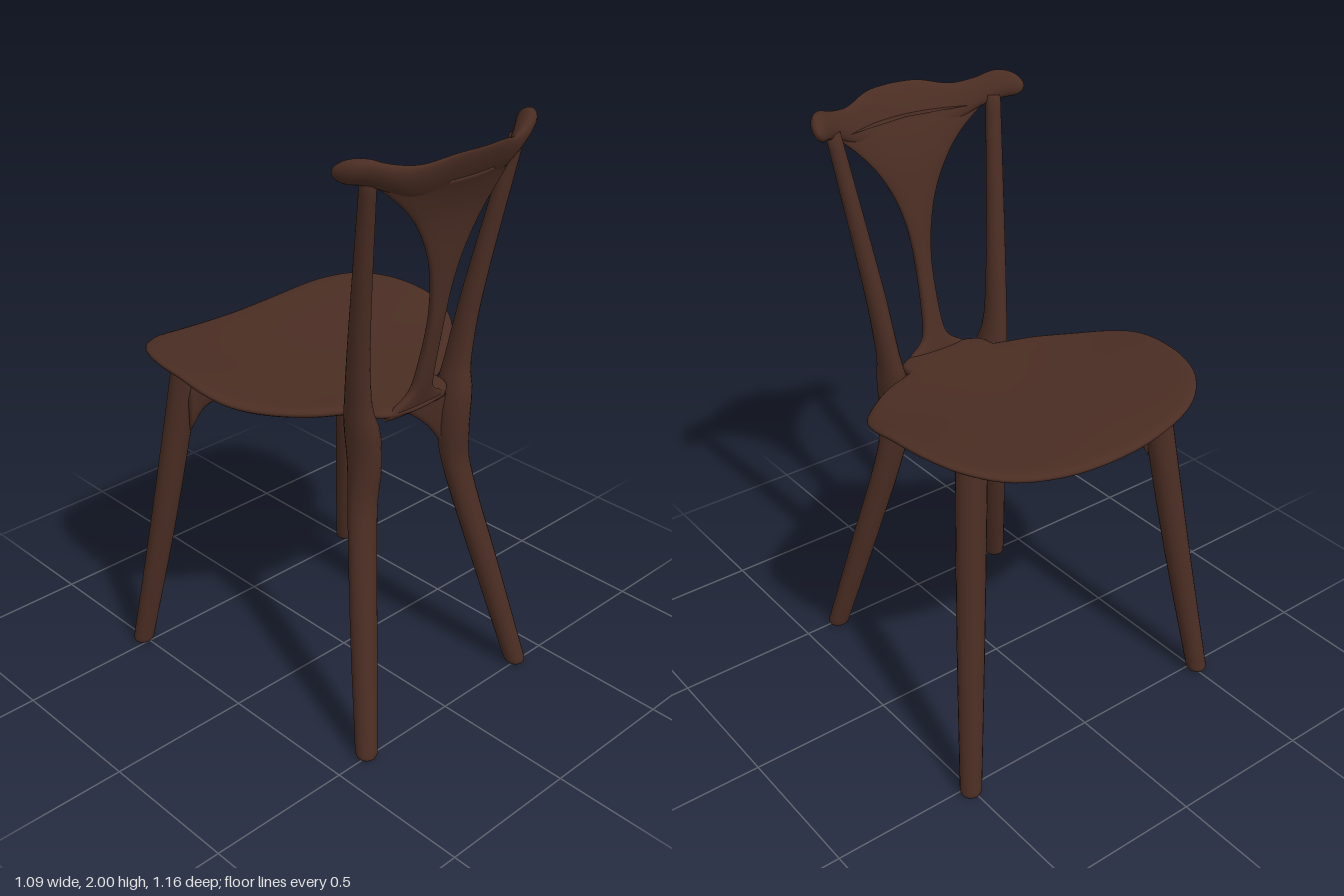
import * as THREE from 'three';

const wood = new THREE.MeshStandardMaterial({ color: 0x4a2d23 });
wood.name = 'dark walnut';

// Smooth interpolation of rows [key, a, b, ...] at key v
function interp(rows, v) {
  let i = 0;
  while (i < rows.length - 2 && v > rows[i + 1][0]) i++;
  const slope = (j, c) => {
    const a = rows[Math.max(j - 1, 0)], b = rows[Math.min(j + 1, rows.length - 1)];
    return (b[c] - a[c]) / (b[0] - a[0]);
  };
  const p = rows[i], q = rows[i + 1], d = q[0] - p[0];
  const t = THREE.MathUtils.clamp((v - p[0]) / d, 0, 1), u = 1 - t;
  return p.slice(1).map((_, k) => {
    const c = k + 1;
    return p[c] * (1 + 2 * t) * u * u + q[c] * t * t * (3 - 2 * t)
      + d * (slope(i, c) * t * u * u - slope(i + 1, c) * t * t * u);
  });
}

// Closed skin over rings of [x, y, z] points, always facing outward
function loft(rings) {
  const n = rings[0].length, m = rings.length, pos = rings.flat(), idx = [];
  for (let i = 0; i < m - 1; i++) {
    for (let j = 0; j < n; j++) {
      const a = i * n + j, b = i * n + (j + 1) % n;
      idx.push(a, b, b + n, a, b + n, a + n);
    }
  }
  for (const [r, flip] of [[0, true], [m - 1, false]]) {
    const c = pos.length;
    pos.push([0, 1, 2].map(k => rings[r].reduce((s, p) => s + p[k], 0) / n));
    for (let j = 0; j < n; j++) {
      const a = r * n + j, b = r * n + (j + 1) % n;
      idx.push(c, flip ? b : a, flip ? a : b);
    }
  }
  let volume = 0;
  const v = k => new THREE.Vector3(...pos[idx[k]]);
  for (let k = 0; k < idx.length; k += 3) volume += v(k).dot(v(k + 1).cross(v(k + 2)));
  if (volume < 0) idx.reverse();
  const g = new THREE.BufferGeometry();
  g.setAttribute('position', new THREE.Float32BufferAttribute(pos.flat(), 3));
  g.setIndex(idx);
  g.computeVertexNormals();
  return g;
}

const range = (n, f) => Array.from({ length: n }, (_, i) => f(i));
const ring = (n, f) => range(n, i => {
  const a = i / n * Math.PI * 2;
  return f(Math.cos(a), Math.sin(a));
});
const squash = (v, p) => Math.sign(v) * Math.abs(v) ** p;

// Rows of leg stations: y, x, z, radius in x, radius in z
const backLeg = [
  [0, 0.372, 0.495, 0.037, 0.037], [0.4, 0.295, 0.4, 0.044, 0.044], [0.8, 0.218, 0.312, 0.05, 0.046],
  [0.95, 0.204, 0.305, 0.05, 0.06], [1.08, 0.212, 0.3, 0.046, 0.066], [1.16, 0.224, 0.296, 0.036, 0.051],
  [1.4, 0.25, 0.325, 0.032, 0.037], [1.93, 0.314, 0.422, 0.025, 0.025],
];
const frontLeg = [[0, 0.51, -0.525, 0.036, 0.036], [0.55, 0.44, -0.44, 0.045, 0.045], [1.145, 0.37, -0.358, 0.05, 0.05]];

function legGeometry(rows, side) {
  const top = rows[rows.length - 1][0], n = 44;
  const ys = [0, 0.004, 0.01, 0.018, ...range(n, i => 0.03 + (top - 0.03) * i / (n - 1))];
  return loft(ys.map(y => {
    const [x, z, rx, rz] = interp(rows, y);
    const k = y < 0.02 ? 0.7 + 0.3 * Math.sqrt(1 - (1 - y / 0.02) ** 2) : 1; // rounded foot
    return ring(20, (c, s) => [side * (x + c * rx * k), y, z + s * rz * k]);
  }));
}

// Diagonal brace stations: position along x, z, underside height
const brace = [
  [-0.2, 0.3, 0.82], [-0.175, 0.27, 0.89], [-0.15, 0.24, 0.94], [-0.11, 0.195, 0.98], [-0.06, 0.14, 1.005],
  [0, 0.07, 1.013], [0.25, -0.215, 1.015], [0.3, -0.272, 1.008], [0.33, -0.307, 0.985], [0.347, -0.328, 0.95],
  [0.372, -0.352, 0.88],
];
function braceGeometry(side) {
  return loft(range(50, i => {
    const x = -0.2 + 0.572 * i / 49, [z, low] = interp(brace, x), mid = (1.09 + low) / 2, h = (1.09 - low) / 2;
    return ring(20, (c, s) => {
      const w = 0.034 * squash(c, 0.5);
      return [side * (x + w * 0.75), mid + h * squash(s, 0.5), z + w * 0.66];
    });
  }));
}

// Dished seat: plan outline shrunk inward over a rounded edge profile
function seatGeometry() {
  const half = [[0.2, -0.577], [0.37, -0.535], [0.47, -0.45], [0.52, -0.33], [0.536, -0.2], [0.533, -0.08], [0.5, 0.01],
    [0.42, 0.1], [0.31, 0.185], [0.22, 0.228], [0.176, 0.252], [0.168, 0.3], [0.13, 0.335], [0.06, 0.352]];
  const pts = [[0, -0.588], ...half, [0, 0.355], ...half.map(([x, z]) => [-x, z]).reverse()];
  const outline = new THREE.CatmullRomCurve3(pts.map(([x, z]) => new THREE.Vector3(x, 0, z)), true).getPoints(128);
  outline.pop();
  const smooth = THREE.MathUtils.smoothstep;
  const height = (x, z) => 1.115 + 0.015 * smooth(-z, 0, 0.5)
    + 0.088 * (x / 0.535) ** 2 * (1 - 0.5 * smooth(z, -0.22, 0.15));
  const inner = [0.02, 0.15, 0.3, 0.45, 0.6, 0.72, 0.83, 0.91];
  const profile = [...inner.map(r => [r, 0]), [0.96, -0.002], [0.985, -0.007], [0.997, -0.013], [1, -0.018],
    [0.995, -0.024], [0.975, -0.03], [0.945, -0.034], ...inner.map(r => [r, -0.036]).reverse()];
  return loft(profile.map(([r, dy]) => outline.map(p => {
    const x = p.x * r, z = -0.1 + (p.z + 0.1) * r;
    return [x, height(x, z) + dy, z];
  })));
}

// Curved surface of the back: rows of y, z on the centre line, sideways bend
const backSurface = [
  [1.08, 0.325, 0], [1.13, 0.338, 0], [1.2, 0.357, 0], [1.4, 0.4, 0], [1.6, 0.43, 0.2], [1.75, 0.457, 0.5],
  [1.85, 0.492, 0.8], [1.92, 0.53, 1], [2, 0.572, 1.08],
];
const backZ = (x, y) => {
  const [z, bend] = interp(backSurface, y);
  return z - bend * x * x;
};

// Central splat: rows of y, half width, half thickness
const splat = [
  [1.085, 0.14, 0.018], [1.115, 0.105, 0.02], [1.135, 0.07, 0.021], [1.16, 0.047, 0.022], [1.22, 0.035, 0.022],
  [1.35, 0.03, 0.02], [1.45, 0.034, 0.019], [1.55, 0.05, 0.018], [1.65, 0.083, 0.017], [1.75, 0.14, 0.016],
  [1.82, 0.2, 0.016], [1.87, 0.255, 0.016], [1.9, 0.29, 0.016],
];
function splatGeometry() {
  return loft(range(56, i => {
    const y = 1.085 + 0.815 * i / 55, [w, t] = interp(splat, y);
    return ring(40, (c, s) => [w * c, y, backZ(w * c, y) + t * squash(s, 0.7)]);
  }));
}

// Crest rail: rows of distance from centre, underside, top, half thickness
const crest = [
  [0, 1.84, 1.99, 0.014], [0.1, 1.842, 1.986, 0.016], [0.2, 1.858, 1.966, 0.022], [0.28, 1.893, 1.977, 0.031],
  [0.34, 1.915, 1.998, 0.038], [0.38, 1.921, 1.998, 0.039], [0.41, 1.925, 1.995, 0.038],
];
function crestGeometry() {
  return loft(range(81, i => {
    const x = 0.404 * Math.sin((i / 40 - 1) * Math.PI / 2 * 0.995);
    const [low, top, t] = interp(crest, Math.abs(x));
    const k = Math.sqrt(1 - Math.max(0, (Math.abs(x) - 0.364) / 0.0401) ** 2); // rounded tips
    const mid = (low + top) / 2, h = (top - low) / 2 * k;
    return ring(24, (c, s) => {
      const y = mid + h * s;
      return [x, y, backZ(x, y) + t * k * c];
    });
  }));
}

export function createModel() {
  const chair = new THREE.Group();
  chair.name = 'chair';
  const add = (name, geometry) => {
    const mesh = new THREE.Mesh(geometry, wood);
    mesh.name = name;
    chair.add(mesh);
  };
  add('seat', seatGeometry());
  add('backSplat', splatGeometry());
  add('crestRail', crestGeometry());
  for (const [label, side] of [['left', 1], ['right', -1]]) {
    add(label + 'BackLegAndUpright', legGeometry(backLeg, side));
    add(label + 'FrontLeg', legGeometry(frontLeg, side));
    add(label + 'DiagonalBrace', braceGeometry(side));
  }
  return chair;
}
